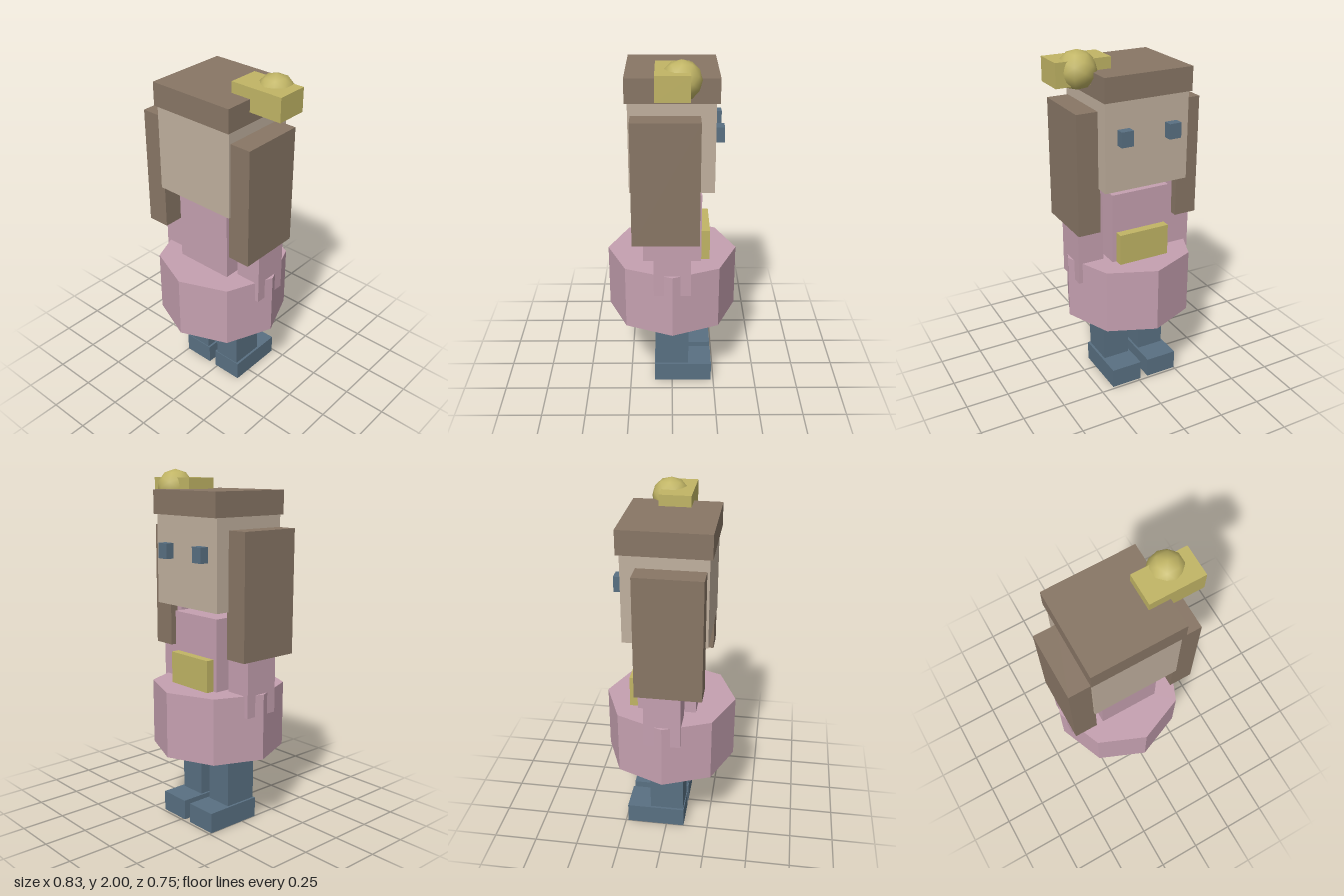
import * as THREE from 'three';

const material = (name, color) => {
  const m = new THREE.MeshStandardMaterial();
  m.name = name;
  m.color.set(color);
  return m;
};

export function createModel() {
  const pink = material('dress pink', 0xc5a0b0);
  const brown = material('hair brown', 0x887665);
  const skin = material('skin beige', 0xc0b09e);
  const gold = material('ribbon gold', 0xc1b565);
  const blue = material('slate blue', 0x597082);

  const model = new THREE.Group();
  model.name = 'blockFigure';

  // The body is centred on this x; the hair bow makes the whole lopsided
  const body = new THREE.Group();
  body.name = 'body';
  body.position.x = -0.04;
  model.add(body);

  const add = (parent, name, geometry, mat, x = 0, y = 0, z = 0) => {
    const mesh = new THREE.Mesh(geometry, mat);
    mesh.name = name;
    mesh.position.set(x, y, z);
    parent.add(mesh);
    return mesh;
  };
  // Box given by its limits on each axis
  const block = (parent, name, mat, [x0, x1], [y0, y1], [z0, z1]) =>
    add(parent, name, new THREE.BoxGeometry(x1 - x0, y1 - y0, z1 - z0), mat,
      (x0 + x1) / 2, (y0 + y1) / 2, (z0 + z1) / 2);

  // Head and hair cap
  block(body, 'head', skin, [-0.25, 0.25], [1.26, 1.76], [-0.23, 0.233]);
  block(body, 'hairCap', brown, [-0.26, 0.26], [1.757, 1.89], [-0.248, 0.248]);

  // Torso, belt ornament and eight-sided skirt
  block(body, 'torso', pink, [-0.176, 0.176], [0.78, 1.212], [-0.166, 0.166]);
  block(body, 'beltOrnament', gold, [-0.152, 0.152], [0.8, 0.985], [-0.215, -0.16]);
  const skirt = new THREE.CylinderGeometry(0.376, 0.376, 0.375, 8).toNonIndexed();
  skirt.computeVertexNormals();
  add(body, 'skirt', skirt, pink, 0, 0.617, 0);

  // Paired parts
  for (const [side, s] of [['left', 1], ['right', -1]]) {
    const pair = (name, mat, near, far, y, z) =>
      block(body, side + name, mat, s > 0 ? [near, far] : [-far, -near], y, z);
    pair('Hair', brown, 0.24, 0.373, [1.0, 1.69], [-0.148, 0.219]);
    pair('Eye', blue, 0.108, 0.179, [1.52, 1.605], [-0.28, -0.22]);
    pair('Arm', pink, 0.203, 0.357, [0.682, 1.27], [-0.103, 0.103]);
    pair('Leg', blue, 0.037, 0.197, [0.1, 0.45], [-0.097, 0.1]);
    pair('Foot', blue, 0.024, 0.211, [0, 0.117], [-0.235, 0.105]);
  }

  // Hair bow with a faceted knot
  const bow = new THREE.Group();
  bow.name = 'hairBow';
  model.add(bow);
  block(bow, 'bowBand', gold, [0.1, 0.413], [1.82, 1.952], [-0.09, 0.088]);
  add(bow, 'bowKnot', new THREE.IcosahedronGeometry(0.105, 1), gold, 0.275, 1.895, -0.047);

  return model;
}
